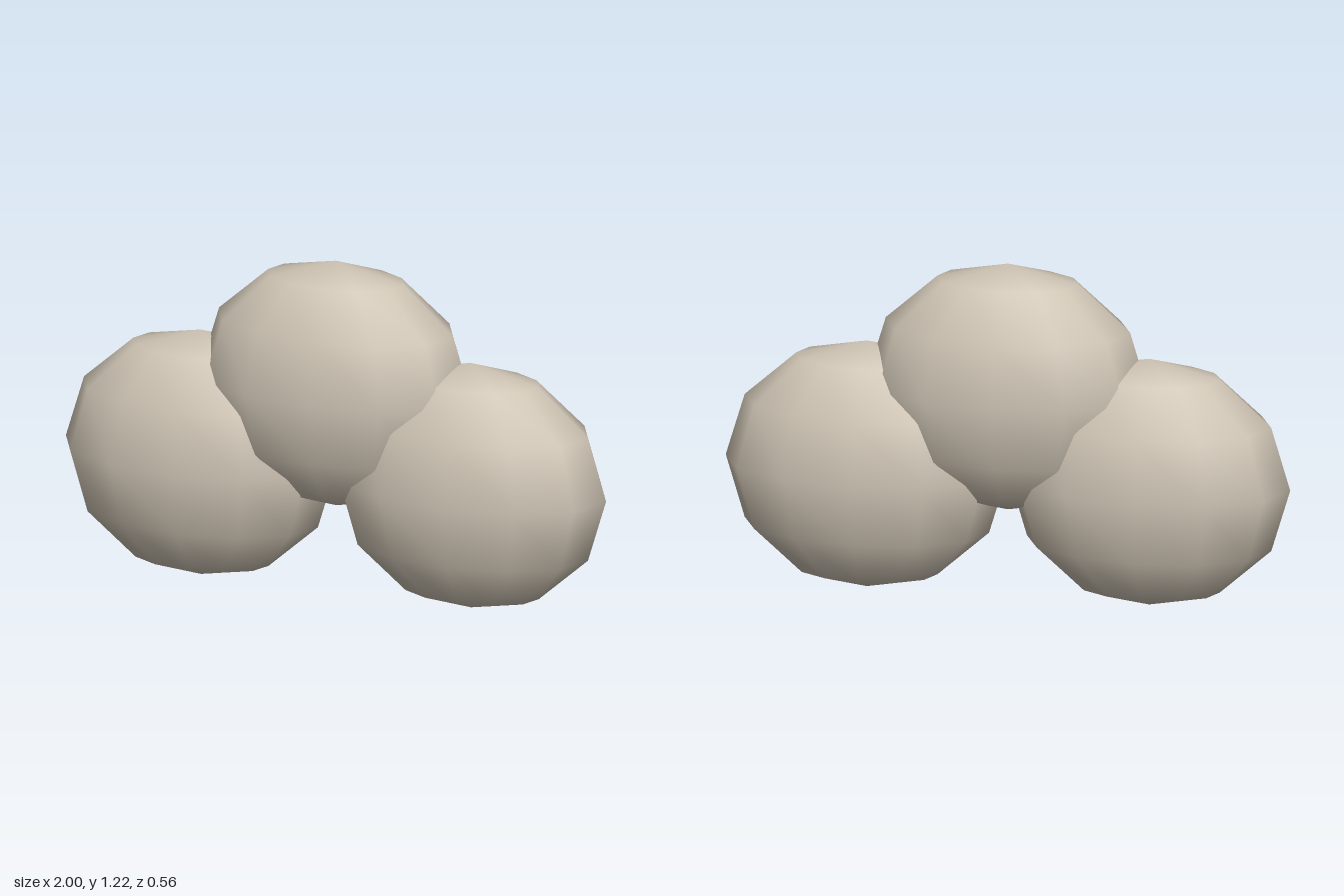
import * as THREE from 'three';

export function createModel() {
  const group = new THREE.Group();
  const stone = new THREE.MeshStandardMaterial({ color: 0xccc2b2 });
  stone.name = 'warm grey';

  // One flattened low-segment ball shared by all three lobes
  const lobe = new THREE.SphereGeometry(1, 12, 6);
  lobe.scale(0.5, 0.45, 0.28);

  const addLobe = (name, x, y) => {
    const mesh = new THREE.Mesh(lobe, stone);
    mesh.name = name;
    mesh.position.set(x, y, 0);
    group.add(mesh);
  };

  // Two lower lobes side by side, one resting between them
  addLobe('leftLobe', 0.5, 0.45);
  addLobe('rightLobe', -0.5, 0.45);
  addLobe('topLobe', 0, 0.765);

  return group;
}
